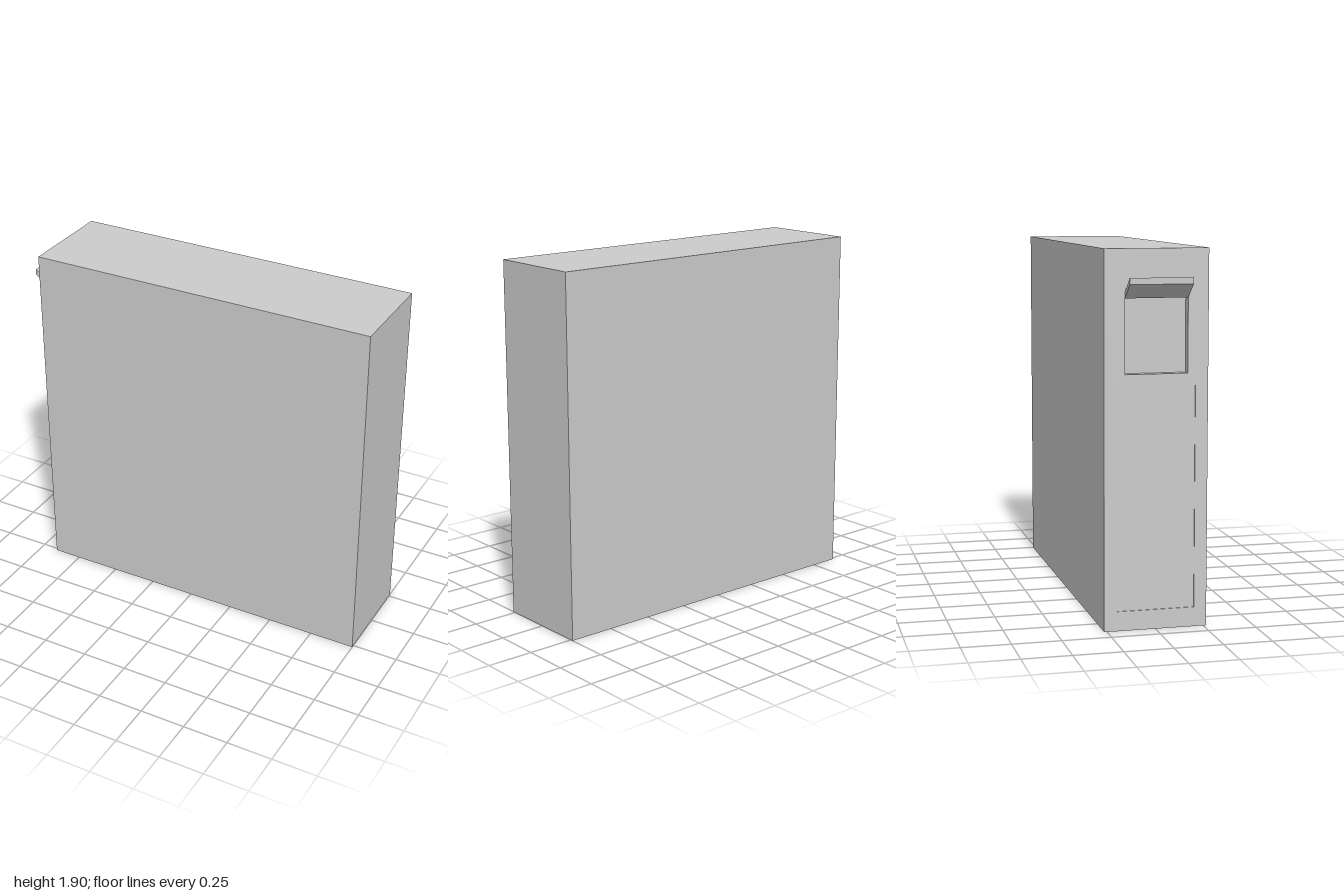
import * as THREE from 'three';

const MAT = new THREE.MeshStandardMaterial({ color: 0xcccccc, flatShading: true });
const LEFT = -0.905, RIGHT = 1, HEIGHT = 1.905, HALF = 0.265, PLATE = 0.045;
const INNER = LEFT + PLATE;

function add(group, name, geometry) {
  const mesh = new THREE.Mesh(geometry, MAT);
  mesh.name = name;
  group.add(mesh);
}

// Box given by its limits on each axis
function block(x0, x1, y0, y1, z0, z1) {
  return new THREE.BoxGeometry(x1 - x0, y1 - y0, z1 - z0)
    .translate((x0 + x1) / 2, (y0 + y1) / 2, (z0 + z1) / 2);
}

function rectangle(Type, halfWidth, y0, y1) {
  return new Type([
    new THREE.Vector2(-halfWidth, y0), new THREE.Vector2(halfWidth, y0),
    new THREE.Vector2(halfWidth, y1), new THREE.Vector2(-halfWidth, y1),
  ]);
}

export function createModel() {
  const model = new THREE.Group();
  model.name = 'cabinet';

  // Solid case behind the end plate
  add(model, 'case', block(INNER, RIGHT, 0, HEIGHT, -HALF, HALF));

  // End plate with the hatch opening and the seat for the lower panel
  const outline = rectangle(THREE.Shape, HALF, 0, HEIGHT);
  outline.holes.push(rectangle(THREE.Path, 0.16, 1.29, 1.68));
  outline.holes.push(rectangle(THREE.Path, 0.2, 0.1, 1.23));
  const plate = new THREE.ExtrudeGeometry(outline, { depth: PLATE, bevelEnabled: false });
  add(model, 'endPlate', plate.rotateY(-Math.PI / 2).translate(INNER, 0, 0));

  // Lower panel, set just below the plate surface
  add(model, 'lowerPanel', block(LEFT + 0.005, INNER, 0.1, 1.23, -0.2, 0.2));

  // Sloping flap above the opening
  const section = new THREE.Shape([
    new THREE.Vector2(-1, 1.735), new THREE.Vector2(LEFT, 1.663),
    new THREE.Vector2(LEFT, 1.695), new THREE.Vector2(-1, 1.767),
  ]);
  const flap = new THREE.ExtrudeGeometry(section, { depth: 0.32, bevelEnabled: false });
  add(model, 'flap', flap.translate(0, 0, -0.16));

  return model;
}
